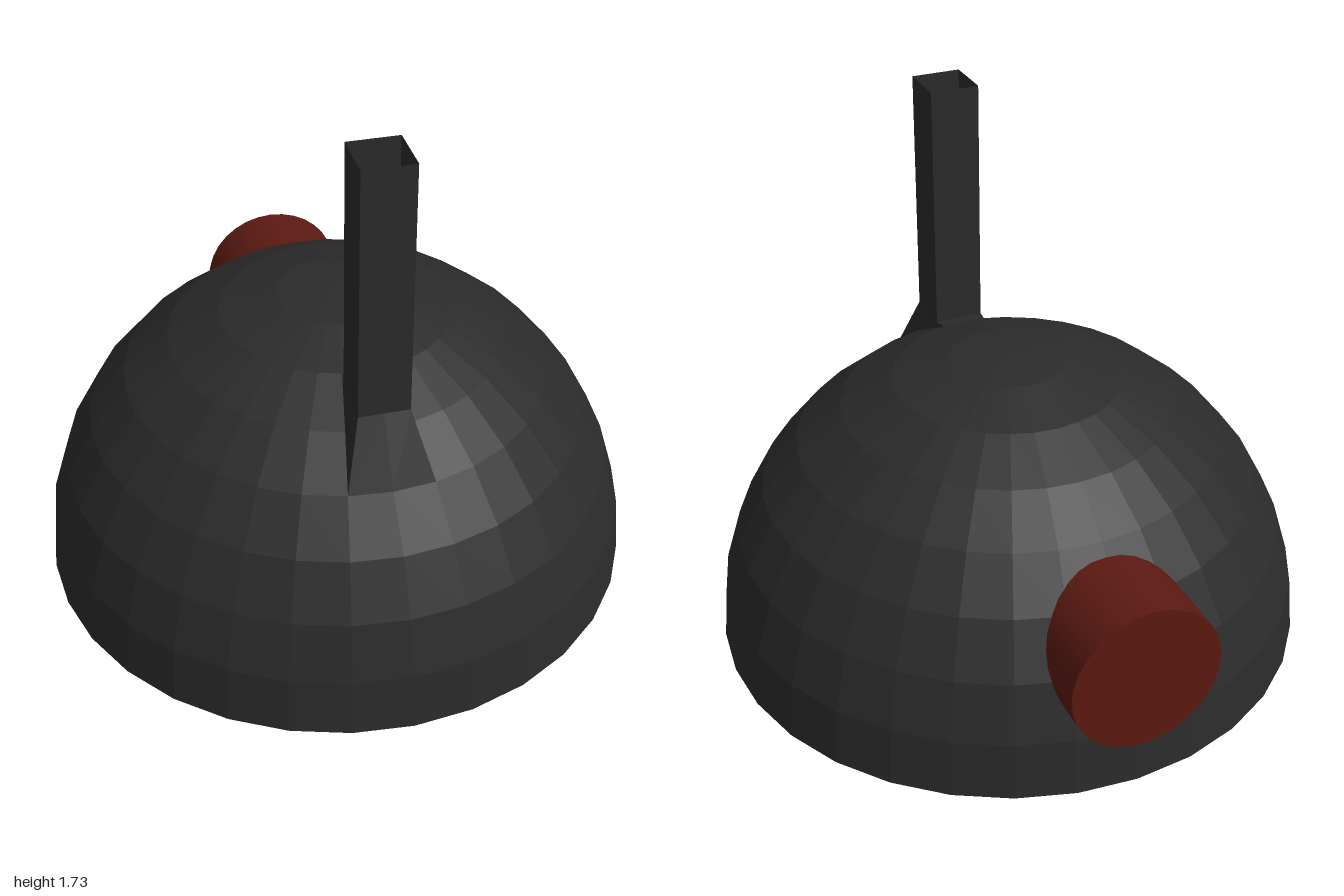
import * as THREE from 'three';
import { toCreasedNormals } from 'three/addons/utils/BufferGeometryUtils.js';

const R = 0.985, Z0 = 0.0125, STEP = Math.PI / 16;

// point on the dome: i rings down from the top, j steps round from the front
function domePoint(i, j) {
  const r = R * Math.sin(i * STEP);
  return [r * Math.sin(j * STEP), R * Math.cos(i * STEP), Z0 + r * Math.cos(j * STEP)];
}

// collects four-cornered faces (counter-clockwise from outside)
function quadMesh(name, quads, material) {
  const pos = [];
  const same = (p, q) => p.every((v, n) => Math.abs(v - q[n]) < 1e-6);
  for (const [a, b, c, d] of quads) {
    for (const t of [[a, b, c], [a, c, d]]) {
      if (!same(t[0], t[1]) && !same(t[1], t[2]) && !same(t[2], t[0])) pos.push(...t.flat());
    }
  }
  const g = new THREE.BufferGeometry();
  g.setAttribute('position', new THREE.Float32BufferAttribute(pos, 3));
  g.computeVertexNormals();
  const m = new THREE.Mesh(g, material);
  m.name = name;
  return m;
}

// quads between two closed loops, lower to upper
function bridge(lower, upper) {
  return lower.map((p, k) => {
    const n = (k + 1) % lower.length;
    return [p, lower[n], upper[n], upper[k]];
  });
}

export function createModel() {
  const group = new THREE.Group();
  const dark = new THREE.MeshStandardMaterial({ color: 0x2b2b2b, flatShading: true, side: THREE.DoubleSide });
  const red = new THREE.MeshStandardMaterial({ color: 0x5c1a12, side: THREE.DoubleSide });

  // open half-sphere shell with a gap under the post
  const shell = [];
  for (let i = 0; i < 8; i++) {
    for (let j = -16; j < 16; j++) {
      if ((i === 2 || i === 3) && (j === -1 || j === 0)) continue;
      shell.push([domePoint(i, j), domePoint(i + 1, j), domePoint(i + 1, j + 1), domePoint(i, j + 1)]);
    }
  }
  group.add(quadMesh('dome', shell, dark));

  // hollow square post
  const w = 0.081, front = 0.597, back = 0.43;
  const square = (y) => [[-w, y, front], [w, y, front], [w, y, back], [-w, y, back]];
  const base = square(0.905);
  group.add(quadMesh('post', bridge(base, square(1.73)), dark));

  // flared collar from the gap in the dome up to the post
  const rim = [[4, -1], [4, 0], [4, 1], [3, 1], [2, 1], [2, 0], [2, -1], [3, -1]].map(([i, j]) => domePoint(i, j));
  const [fl, fr, br, bl] = base;
  const foot = [fl, [0, 0.905, front], fr, fr, br, [0, 0.905, back], bl, fl];
  group.add(quadMesh('collar', bridge(rim, foot), dark));

  // round plug through the back wall, with a shallow groove inside the dome
  const profile = [[0, -1], [0.245, -1], [0.245, -0.67], [0.215, -0.67], [0.215, -0.59], [0.245, -0.59], [0.245, -0.3], [0, -0.3]]
    .map(([r, z]) => new THREE.Vector2(r, z));
  const plugGeometry = toCreasedNormals(new THREE.LatheGeometry(profile, 32), 0.6);
  plugGeometry.rotateX(Math.PI / 2);
  const plug = new THREE.Mesh(plugGeometry, red);
  plug.name = 'plug';
  plug.position.y = 0.415;
  group.add(plug);

  return group;
}
